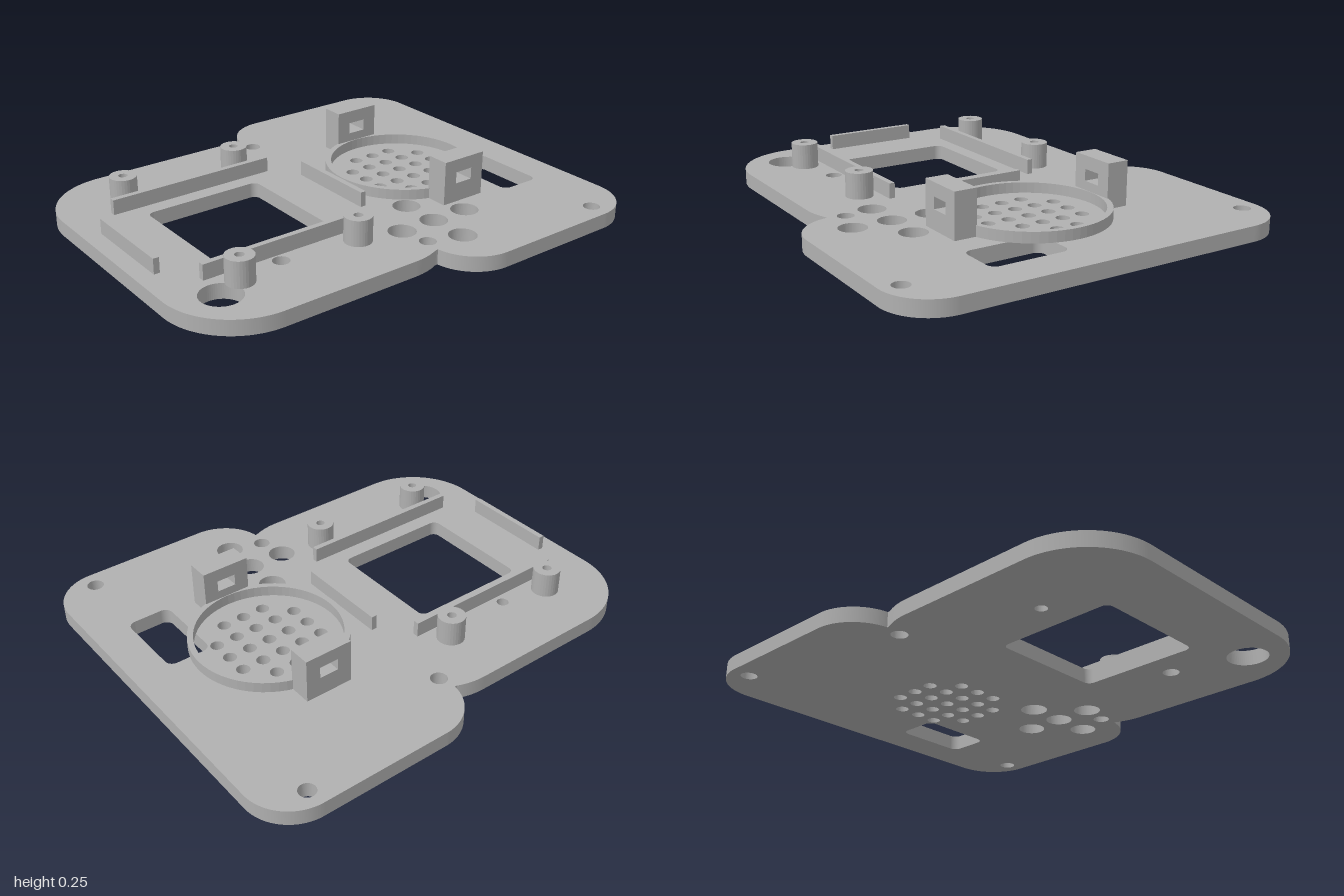
import * as THREE from 'three';

const T = 0.065; // plate thickness
const grey = new THREE.MeshStandardMaterial({ color: 0xb0b0b0 });
grey.name = 'grey plastic';

function circle(Kind, x, z, r) {
  const p = new Kind();
  p.absarc(x, z, r, 0, Math.PI * 2, false);
  return p;
}

function roundRect(x0, z0, x1, z1, r) {
  const p = new THREE.Path();
  p.absarc(x1 - r, z1 - r, r, 0, Math.PI / 2, false);
  p.absarc(x0 + r, z1 - r, r, Math.PI / 2, Math.PI, false);
  p.absarc(x0 + r, z0 + r, r, Math.PI, Math.PI * 1.5, false);
  p.absarc(x1 - r, z0 + r, r, Math.PI * 1.5, Math.PI * 2, false);
  p.closePath();
  return p;
}

// Extrude an x/z outline upward from y0 to y1
function slab(shape, y0, y1) {
  const g = new THREE.ExtrudeGeometry(shape, { depth: y1 - y0, bevelEnabled: false, curveSegments: 32 });
  return g.rotateX(Math.PI / 2).translate(0, y1, 0);
}

export function createModel() {
  const model = new THREE.Group();
  model.name = 'facePlate';
  const add = (name, geometry) => {
    const mesh = new THREE.Mesh(geometry, grey);
    mesh.name = name;
    model.add(mesh);
    return mesh;
  };
  const box = (name, x0, x1, y0, y1, z0, z1) =>
    add(name, new THREE.BoxGeometry(x1 - x0, y1 - y0, z1 - z0)
      .translate((x0 + x1) / 2, (y0 + y1) / 2, (z0 + z1) / 2));

  // Outline: wide back half and narrower front half meeting in a notch
  const H = Math.PI / 2;
  const notchWide = Math.acos(0.025 / 0.2);
  const notchNarrow = Math.acos(0.285 / 0.31);
  const plate = new THREE.Shape();
  plate.absarc(0.66, -0.8, 0.2, -H, 0, false);
  plate.absarc(0.66, -0.24, 0.2, 0, notchWide, false);
  plate.absarc(0.4, 0.09, 0.31, -notchNarrow, 0, false);
  plate.absarc(0.4, 0.69, 0.31, 0, H, false);
  plate.absarc(-0.4, 0.69, 0.31, H, 2 * H, false);
  plate.absarc(-0.4, 0.09, 0.31, 2 * H, 2 * H + notchNarrow, false);
  plate.absarc(-0.66, -0.24, 0.2, 2 * H - notchWide, 2 * H, false);
  plate.absarc(-0.66, -0.8, 0.2, 2 * H, 3 * H, false);
  plate.closePath();

  // Screen window and switch slot
  plate.holes.push(roundRect(-0.262, 0.16, 0.262, 0.692, 0.03));
  plate.holes.push(roundRect(0.1, -0.842, 0.44, -0.652, 0.035));

  // Screw, button and jack holes: x, z, radius
  for (const [x, z, r] of [
    [-0.778, -0.813, 0.035], [0.778, -0.813, 0.035],
    [-0.61, -0.057, 0.035], [0.61, -0.057, 0.035],
    [-0.4, 0.49, 0.025], [0.4, 0.49, 0.035], [0.483, 0.808, 0.085],
    [0.483, -0.372, 0.058], [0.483, -0.203, 0.058], [0.483, -0.035, 0.058],
    [0.315, -0.203, 0.058], [0.652, -0.203, 0.058],
  ]) plate.holes.push(circle(THREE.Path, x, z, r));

  // Speaker grille: 5 x 5 grid without its corners
  const cz = -0.435;
  for (let i = -2; i <= 2; i++) {
    for (let j = -2; j <= 2; j++) {
      if (Math.abs(i * j) < 4) plate.holes.push(circle(THREE.Path, i * 0.095, cz + j * 0.095, 0.028));
    }
  }
  add('plate', slab(plate, 0, T));

  // Speaker rim
  const rim = circle(THREE.Shape, 0, cz, 0.33);
  rim.holes.push(circle(THREE.Path, 0, cz, 0.305));
  add('speakerRim', slab(rim, T, 0.11));

  for (const s of [-1, 1]) {
    const side = s > 0 ? 'left' : 'right';

    // Speaker bracket with a slot running through it along x
    const face = new THREE.Shape();
    face.moveTo(-0.105, 0).lineTo(0.105, 0).lineTo(0.105, 0.19).lineTo(-0.105, 0.19).closePath();
    const slot = new THREE.Path();
    slot.moveTo(-0.042, 0.083).lineTo(-0.042, 0.133).lineTo(0.042, 0.133).lineTo(0.042, 0.083).closePath();
    face.holes.push(slot);
    const bracket = new THREE.ExtrudeGeometry(face, { depth: 0.097, bevelEnabled: false });
    bracket.translate(0, 0, -0.0485).rotateY(H).translate(s * 0.3565, T, cz);
    add(side + 'SpeakerBracket', bracket);

    // Long rail beside the window
    box(side + 'Rail', s * 0.345 - 0.0125, s * 0.345 + 0.0125, T, 0.13, 0.05, 0.805);

    // Screw posts with a blind bore
    for (const z of [0.155, 0.7]) {
      const post = new THREE.LatheGeometry([
        [0, T], [0.058, T], [0.058, T], [0.058, 0.175], [0.058, 0.175],
        [0.019, 0.175], [0.019, 0.175], [0.019, T + 0.005], [0.019, T + 0.005], [0, T + 0.005],
      ].map(([r, y]) => new THREE.Vector2(r, y)), 32);
      const flat = post.toNonIndexed();
      flat.computeVertexNormals();
      add(side + (z < 0.4 ? 'Back' : 'Front') + 'Post', flat.translate(s * 0.442, 0, z));
    }
  }

  // Short rails behind and in front of the window
  box('backRail', -0.21, 0.21, T, 0.13, -0.07, -0.045);
  box('frontRail', -0.21, 0.21, T, 0.13, 0.9, 0.925);

  return model;
}
